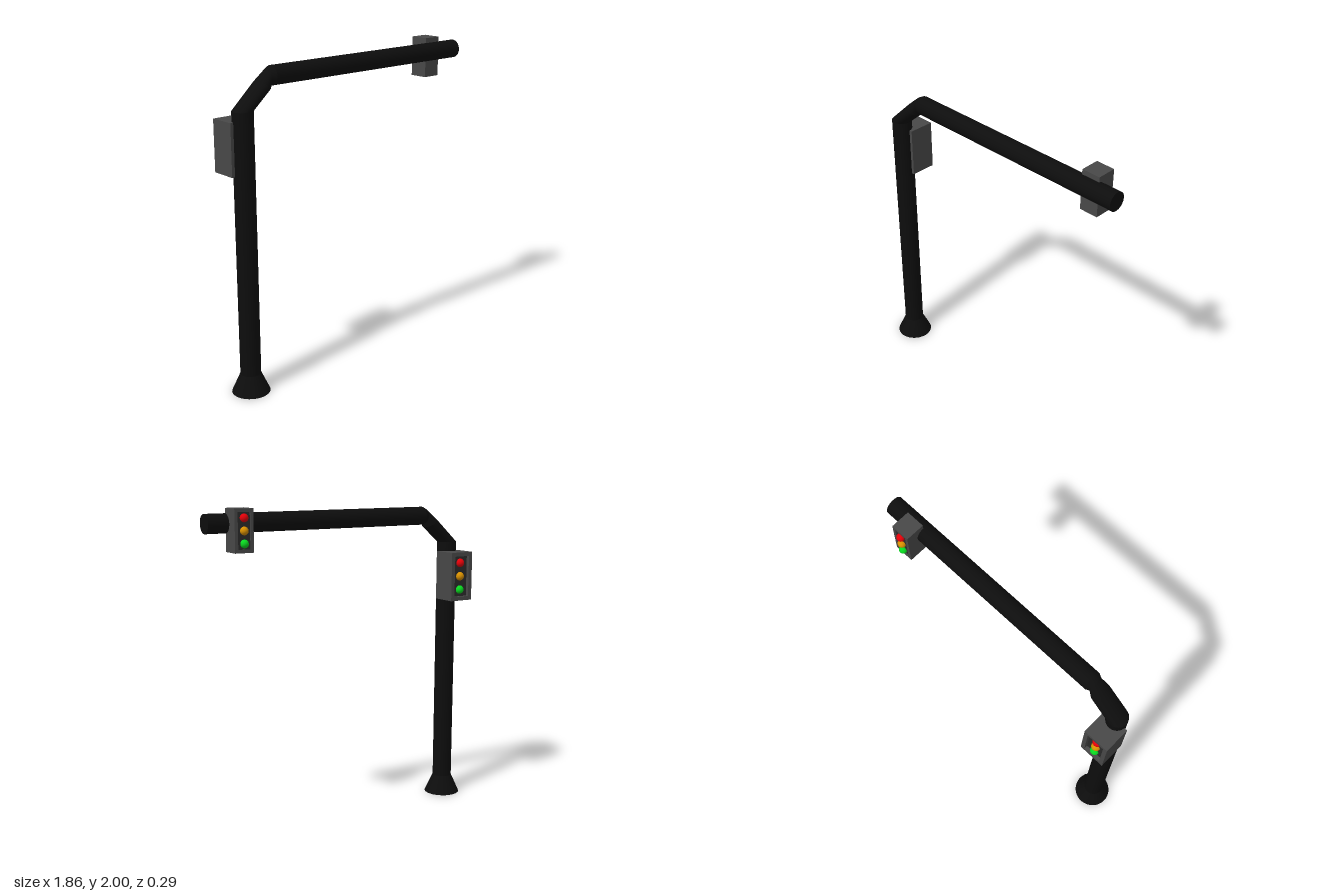
import * as THREE from 'three';

const SIDES = 32;
const AXIS_Z = 0.03;

const material = (name, color) => {
  const m = new THREE.MeshStandardMaterial({ color });
  m.name = name;
  return m;
};

// Ring in the plane of z and an "outer" direction (ux, uy)
const ring = (x, y, ux, uy, depth) => ({ x, y, ux, uy, depth });

// Tube section between two rings, with smooth sides and optional flat caps
function section(a, b, capStart, capEnd) {
  const pos = [], index = [];
  const addRing = (r) => {
    const start = pos.length / 3;
    for (let i = 0; i < SIDES; i++) {
      const t = (i / SIDES) * Math.PI * 2, c = Math.cos(t), s = Math.sin(t);
      pos.push(r.x + r.ux * c, r.y + r.uy * c, AXIS_Z + r.depth * s);
    }
    return start;
  };
  const s0 = addRing(a), s1 = addRing(b);
  for (let i = 0; i < SIDES; i++) {
    const j = (i + 1) % SIDES;
    index.push(s0 + i, s0 + j, s1 + j, s0 + i, s1 + j, s1 + i);
  }
  const cap = (r, flip) => {
    const s = addRing(r);
    for (let i = 1; i < SIDES - 1; i++) {
      index.push(s, flip ? s + i + 1 : s + i, flip ? s + i : s + i + 1);
    }
  };
  if (capStart) cap(a, true);
  if (capEnd) cap(b, false);
  const g = new THREE.BufferGeometry();
  g.setAttribute('position', new THREE.Float32BufferAttribute(pos, 3));
  g.setIndex(index);
  g.computeVertexNormals();
  return g;
}

// Signal box with an open recess and three lamps, all facing -z
function signal(name, o, mats) {
  const group = new THREE.Group();
  group.name = name;
  const add = (part, geo, mat, x, y, z) => {
    const m = new THREE.Mesh(geo, mat);
    m.name = part;
    m.position.set(x, y, z);
    group.add(m);
  };
  const { w, h, front, back, recess, inset } = o;
  const body = back - front - recess;
  add('housing', new THREE.BoxGeometry(w, h, body), mats.housing, 0, 0, back - body / 2);

  // Raised rim around the recess
  const shape = new THREE.Shape();
  const rect = (p, x, y) => p.moveTo(-x, -y).lineTo(x, -y).lineTo(x, y).lineTo(-x, y).closePath();
  rect(shape, w / 2, h / 2);
  const hole = new THREE.Path();
  rect(hole, w / 2 - inset, h / 2 - inset);
  shape.holes.push(hole);
  add('rim', new THREE.ExtrudeGeometry(shape, { depth: recess, bevelEnabled: false }),
    mats.housing, 0, 0, front);

  // Dark panel behind the lamps
  add('panel', new THREE.BoxGeometry(w - inset * 2, h - inset * 2, 0.004),
    mats.panel, 0, 0, front + recess - 0.001);

  ['red', 'amber', 'green'].forEach((c, i) => {
    add(c + 'Lamp', new THREE.SphereGeometry(o.lamp, 24, 16), mats[c],
      0, (1 - i) * o.spacing, o.lampZ);
  });
  group.position.set(o.x, o.y, 0);
  return group;
}

export function createModel() {
  const model = new THREE.Group();
  model.name = 'trafficLight';
  const mats = {
    pole: material('black pole', 0x0d0d0d),
    housing: material('grey housing', 0x484848),
    panel: material('dark panel', 0x2a2a2a),
    red: material('red', 0xe40008),
    amber: material('amber', 0xd89000),
    green: material('green', 0x08d820),
  };

  // Foot, upright, elbow and arm share one chain of rings
  const px = -0.813;
  const rings = [
    ring(px, 0, -0.117, 0, 0.117),
    ring(px, 0.12, -0.063, 0, 0.063),
    ring(px, 1.735, -0.063, 0, 0.063),
    ring(-0.67, 1.863, -0.04, 0.027, 0.061),
    ring(-0.63, 1.907, -0.005, 0.046, 0.046),
    ring(-0.605, 1.911, 0, 0.058, 0.058),
    ring(0.928, 1.911, 0, 0.058, 0.058),
  ];
  const names = ['foot', 'upright', 'elbow', 'elbowNeck', 'armCollar', 'arm'];
  names.forEach((name, i) => {
    const geo = section(rings[i], rings[i + 1], i === 0, i === names.length - 1);
    const mesh = new THREE.Mesh(geo, mats.pole);
    mesh.name = name;
    model.add(mesh);
  });

  model.add(signal('poleSignal', {
    x: px, y: 1.518, w: 0.165, h: 0.316, front: -0.14, back: 0.025,
    recess: 0.026, inset: 0.026, lamp: 0.028, spacing: 0.088, lampZ: -0.118,
  }, mats));
  model.add(signal('armSignal', {
    x: 0.736, y: 1.873, w: 0.12, h: 0.254, front: -0.098, back: 0.023,
    recess: 0.01, inset: 0.02, lamp: 0.025, spacing: 0.074, lampZ: -0.098,
  }, mats));
  return model;
}
